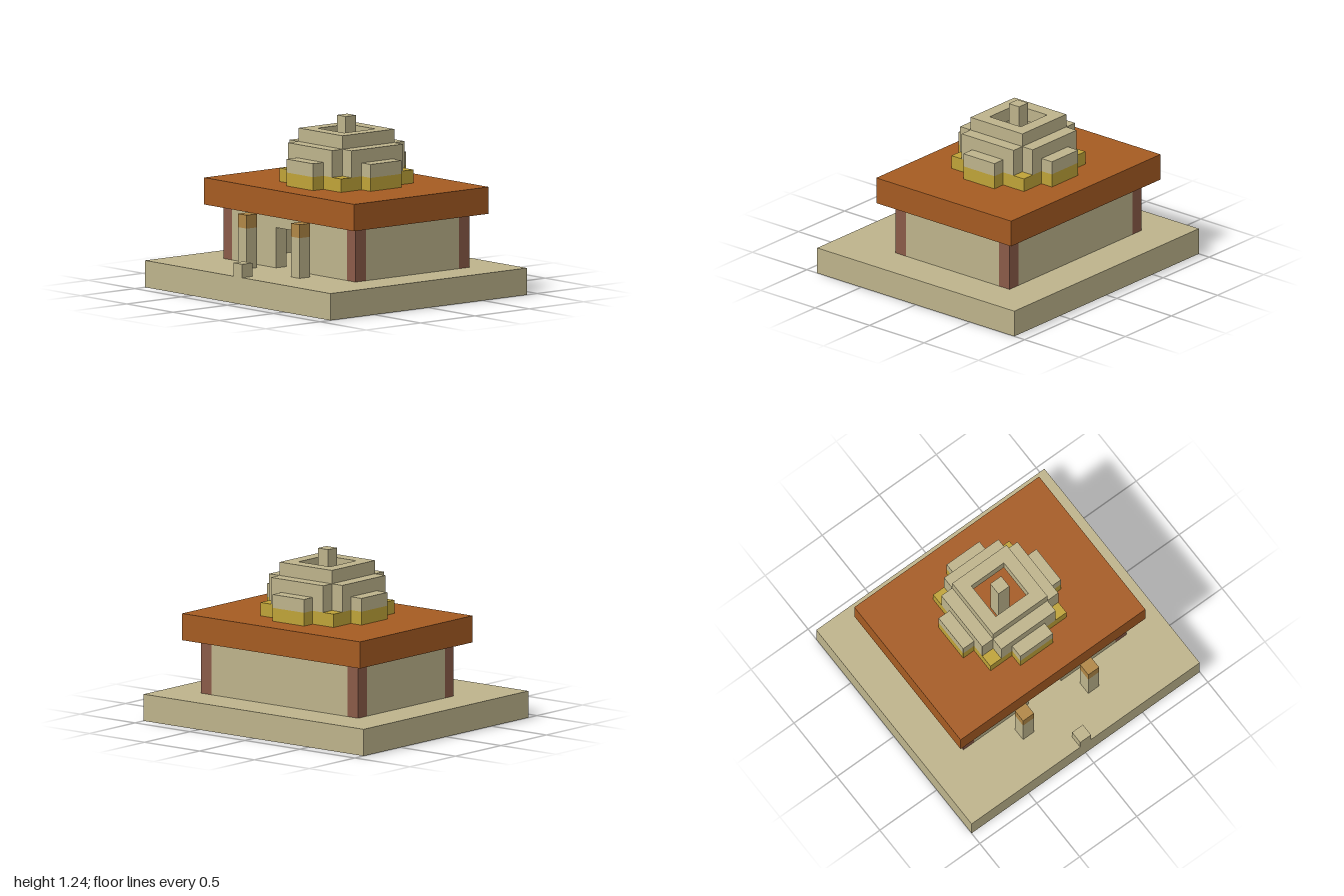
import * as THREE from 'three';

const U = 2 / 21; // one block

const mat = (name, color) => {
  const m = new THREE.MeshStandardMaterial({ color });
  m.name = name;
  return m;
};

export function createModel() {
  const stone = mat('sandstone', 0xbdb38b);
  const roofClay = mat('roofClay', 0xa55b22);
  const gold = mat('gold', 0xbfa338);
  const brick = mat('brick', 0x8a5a48);
  const wood = mat('wood', 0xb08746);

  const model = new THREE.Group();
  model.name = 'temple';

  // Box spanning block coordinates on each axis
  const box = (parent, name, material, [x0, x1], [y0, y1], [z0, z1]) => {
    const geo = new THREE.BoxGeometry((x1 - x0) * U, (y1 - y0) * U, (z1 - z0) * U);
    const mesh = new THREE.Mesh(geo, material);
    mesh.name = name;
    mesh.position.set((x0 + x1) * U / 2, (y0 + y1) * U / 2, (z0 + z1) * U / 2);
    parent.add(mesh);
    return mesh;
  };

  // Plinth and the small marker stone at its front edge
  box(model, 'plinth', stone, [-10.5, 10.5], [0, 2], [-9.5, 9.5]);
  box(model, 'markerStone', stone, [-0.5, 0.5], [2, 3], [8.5, 9.5]);

  // Hollow hall with an open doorway
  box(model, 'backWall', stone, [-6.5, 6.5], [2, 6], [-6.5, -5.5]);
  box(model, 'doorLintel', stone, [-1.5, 1.5], [5, 6], [3.5, 4.5]);
  for (const s of [-1, 1]) {
    const span = (a, b) => (s > 0 ? [a, b] : [-b, -a]);
    const side = s > 0 ? 'left' : 'right';
    box(model, side + 'FrontWall', stone, span(1.5, 6.5), [2, 6], [3.5, 4.5]);
    box(model, side + 'SideWall', stone, span(6.5, 7.5), [2, 6], [-5.5, 3.5]);
    box(model, side + 'FrontCorner', brick, span(6.5, 7.5), [2, 6], [3.5, 4.5]);
    box(model, side + 'BackCorner', brick, span(6.5, 7.5), [2, 6], [-6.5, -5.5]);

    // Free-standing porch columns
    box(model, side + 'Column', stone, span(2.5, 3.5), [2, 5], [5.5, 6.5]);
    box(model, side + 'ColumnCap', wood, span(2.5, 3.5), [5, 6], [5.5, 6.5]);
  }

  // Roof slab
  box(model, 'roof', roofClay, [-8.5, 8.5], [6, 8], [-7.5, 5.5]);

  // Stepped hollow dome: one side repeated four times around the centre
  const dome = new THREE.Group();
  dome.name = 'dome';
  dome.position.z = -U;
  model.add(dome);
  for (let i = 0; i < 4; i++) {
    const side = new THREE.Group();
    side.name = 'domeSide' + (i + 1);
    side.rotation.y = i * Math.PI / 2;
    box(side, 'goldBand', gold, [-2.5, 3.5], [8, 9], [2.5, 3.5]);
    box(side, 'goldLobeBase', gold, [-1.5, 1.5], [8, 9], [3.5, 4.5]);
    box(side, 'lobe', stone, [-1.5, 1.5], [9, 10], [3.5, 4.5]);
    box(side, 'domeWall', stone, [-2.5, 2.5], [9, 11], [2.5, 3.5]);
    box(side, 'topRing', stone, [-1.5, 2.5], [11, 12], [1.5, 2.5]);
    dome.add(side);
  }
  box(dome, 'finial', stone, [-0.5, 0.5], [8, 13], [-0.5, 0.5]);

  return model;
}
